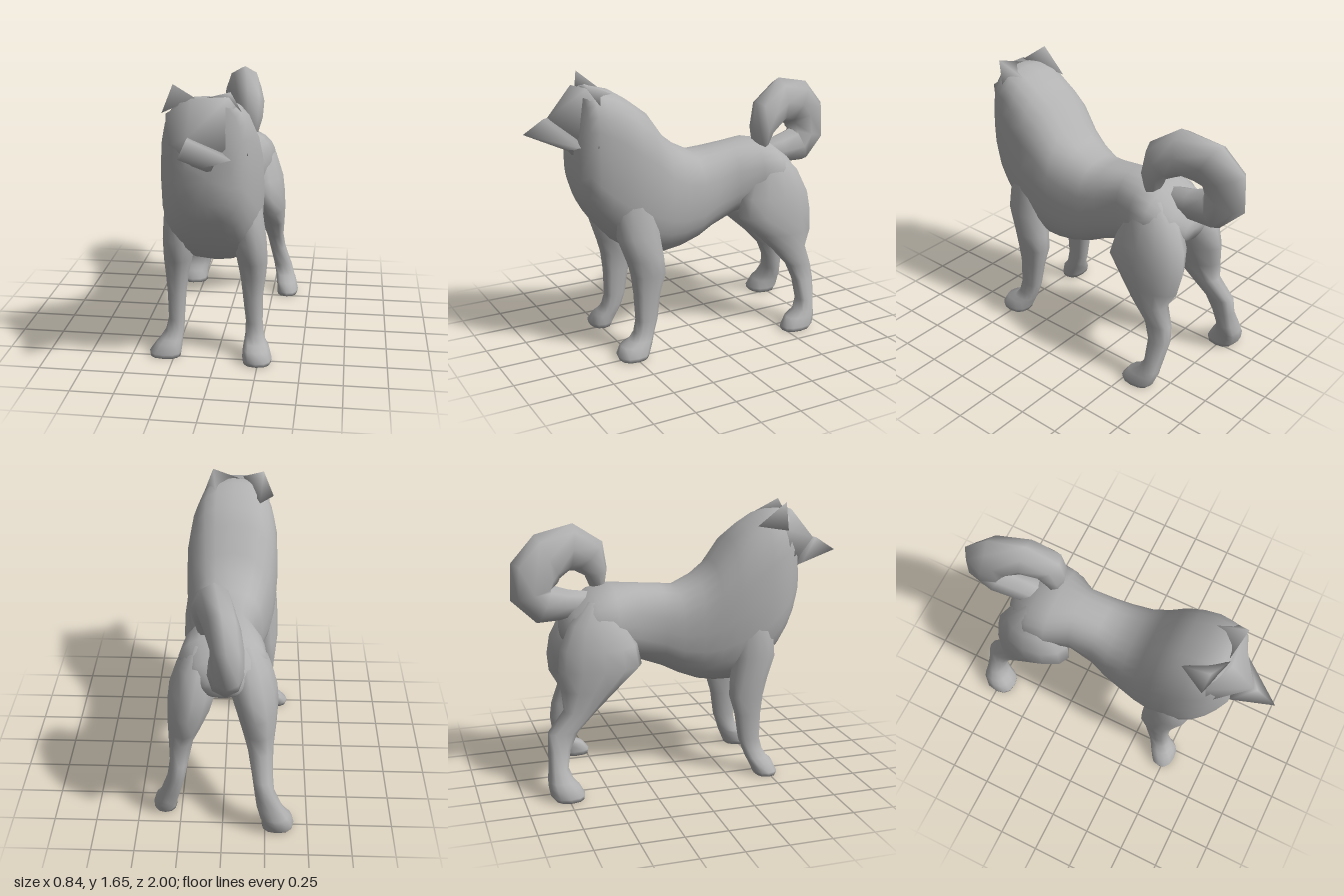
import * as THREE from 'three';
import { ConvexGeometry } from 'three/addons/geometries/ConvexGeometry.js';
import { mergeVertices } from 'three/addons/utils/BufferGeometryUtils.js';

// Closed skin over a list of rings (arrays of Vector3), capped at both ends.
function loft(rings) {
  const n = rings[0].length, pos = [], idx = [];
  rings.forEach(r => r.forEach(p => pos.push(p.x, p.y, p.z)));
  for (let i = 0; i < rings.length - 1; i++) {
    for (let j = 0; j < n; j++) {
      const a = i * n + j, b = i * n + (j + 1) % n;
      idx.push(a, b, a + n, b, b + n, a + n);
    }
  }
  [0, rings.length - 1].forEach((ri, end) => {
    const c = new THREE.Vector3();
    rings[ri].forEach(p => c.addScaledVector(p, 1 / n));
    const ci = pos.length / 3;
    pos.push(c.x, c.y, c.z);
    for (let j = 0; j < n; j++) {
      const a = ri * n + j, b = ri * n + (j + 1) % n;
      if (end) idx.push(a, b, ci); else idx.push(b, a, ci);
    }
  });
  // Turn the skin outward if its signed volume is negative.
  const at = k => new THREE.Vector3().fromArray(pos, k * 3);
  let volume = 0;
  for (let i = 0; i < idx.length; i += 3) volume += at(idx[i]).dot(at(idx[i + 1]).cross(at(idx[i + 2])));
  if (volume < 0) idx.reverse();
  const g = new THREE.BufferGeometry();
  g.setAttribute('position', new THREE.Float32BufferAttribute(pos, 3));
  g.setIndex(idx);
  g.computeVertexNormals();
  return g;
}

// Convex piece with smooth normals
function smoothHull(points) {
  const hull = new ConvexGeometry(points.map(p => new THREE.Vector3(...p)));
  hull.deleteAttribute('normal');
  const g = mergeVertices(hull);
  g.computeVertexNormals();
  return g;
}

// Rounded outline: calls place(u, v) with u, v in -1..1; power 2 is an ellipse.
function ring(sides, power, place) {
  const soft = t => Math.sign(t) * Math.abs(t) ** (2 / power);
  return Array.from({ length: sides }, (_, i) => {
    const a = (i / sides) * Math.PI * 2;
    return place(soft(Math.cos(a)), soft(Math.sin(a)));
  });
}
const mix = (a, b, t) => (a + b) / 2 + t * (b - a) / 2;

// Torso sections: z, bottom, top, x min, x max, squareness
const torso = [
  [-0.70, 0.88, 1.00, -0.10, 0.10, 2],
  [-0.64, 0.84, 1.08, -0.19, 0.20, 2.2],
  [-0.52, 0.80, 1.17, -0.25, 0.26, 2.2],
  [-0.40, 0.77, 1.195, -0.235, 0.24, 2.3],
  [-0.26, 0.73, 1.185, -0.175, 0.18, 2.4],
  [-0.10, 0.67, 1.17, -0.19, 0.20, 2.4],
  [0.00, 0.62, 1.16, -0.22, 0.22, 2.5],
  [0.12, 0.575, 1.22, -0.25, 0.23, 2.5],
  [0.22, 0.56, 1.30, -0.28, 0.25, 2.5],
  [0.32, 0.56, 1.44, -0.30, 0.26, 2.6],
  [0.42, 0.60, 1.515, -0.31, 0.265, 2.7],
  [0.52, 0.67, 1.575, -0.305, 0.25, 2.9],
  [0.60, 0.76, 1.595, -0.285, 0.225, 3],
  [0.66, 0.84, 1.60, -0.25, 0.205, 3],
  [0.71, 0.92, 1.58, -0.205, 0.175, 2.8],
  [0.75, 1.02, 1.32, -0.14, 0.12, 2.4],
];

// Leg sections: y, back z, front z, x min, x max
const legs = {
  frontLeftLeg: [
    [1.08, 0.38, 0.50, 0.12, 0.23], [0.90, 0.31, 0.56, 0.09, 0.262], [0.74, 0.30, 0.57, 0.09, 0.285],
    [0.60, 0.28, 0.52, 0.11, 0.29], [0.50, 0.275, 0.49, 0.13, 0.28],
    [0.38, 0.31, 0.475, 0.145, 0.265], [0.22, 0.335, 0.47, 0.165, 0.265],
    [0.15, 0.36, 0.485, 0.165, 0.275], [0.105, 0.375, 0.52, 0.16, 0.29],
    [0.085, 0.385, 0.58, 0.157, 0.31], [0.03, 0.41, 0.605, 0.155, 0.33], [0.005, 0.42, 0.595, 0.16, 0.325],
  ],
  frontRightLeg: [
    [1.08, 0.38, 0.50, -0.27, -0.15], [0.90, 0.31, 0.56, -0.307, -0.11], [0.74, 0.30, 0.57, -0.318, -0.13],
    [0.60, 0.28, 0.52, -0.32, -0.15], [0.50, 0.275, 0.49, -0.31, -0.175],
    [0.38, 0.31, 0.475, -0.30, -0.19], [0.22, 0.335, 0.47, -0.295, -0.20],
    [0.15, 0.36, 0.485, -0.31, -0.20], [0.105, 0.375, 0.51, -0.34, -0.205],
    [0.085, 0.385, 0.535, -0.36, -0.205], [0.03, 0.41, 0.555, -0.40, -0.21], [0.005, 0.42, 0.55, -0.395, -0.215],
  ],
  hindLeftLeg: [
    [1.12, -0.56, -0.42, 0.06, 0.18], [1.00, -0.68, -0.35, 0.02, 0.265],
    [0.86, -0.745, -0.28, 0.025, 0.31], [0.74, -0.76, -0.25, 0.06, 0.325],
    [0.62, -0.745, -0.36, 0.12, 0.325], [0.52, -0.69, -0.46, 0.17, 0.32],
    [0.40, -0.73, -0.565, 0.20, 0.31], [0.30, -0.74, -0.605, 0.22, 0.325],
    [0.18, -0.72, -0.615, 0.25, 0.37], [0.115, -0.71, -0.585, 0.265, 0.39],
    [0.085, -0.71, -0.52, 0.27, 0.405], [0.03, -0.69, -0.48, 0.28, 0.42], [0.005, -0.67, -0.485, 0.28, 0.415],
  ],
  hindRightLeg: [
    [1.12, -0.56, -0.42, -0.18, -0.06], [1.00, -0.68, -0.35, -0.265, -0.02],
    [0.86, -0.745, -0.28, -0.305, -0.025], [0.74, -0.76, -0.26, -0.315, -0.06],
    [0.62, -0.75, -0.40, -0.305, -0.10], [0.50, -0.74, -0.54, -0.29, -0.14],
    [0.38, -0.84, -0.66, -0.29, -0.17], [0.28, -0.845, -0.71, -0.30, -0.185],
    [0.18, -0.85, -0.735, -0.35, -0.20], [0.115, -0.86, -0.71, -0.385, -0.215],
    [0.085, -0.86, -0.68, -0.405, -0.225], [0.03, -0.85, -0.65, -0.42, -0.23], [0.005, -0.83, -0.655, -0.415, -0.23],
  ],
};

// Curled tail path: x, y, z, half width, half thickness
const tail = [
  [0.00, 1.07, -0.50, 0.08, 0.08], [-0.01, 1.085, -0.66, 0.09, 0.09],
  [-0.02, 1.10, -0.80, 0.10, 0.12], [-0.03, 1.17, -0.865, 0.09, 0.135],
  [-0.03, 1.29, -0.85, 0.09, 0.15], [0.00, 1.375, -0.77, 0.10, 0.15],
  [0.045, 1.415, -0.62, 0.105, 0.14], [0.08, 1.35, -0.51, 0.10, 0.12],
  [0.085, 1.25, -0.465, 0.09, 0.07], [0.08, 1.13, -0.455, 0.06, 0.035],
];

// Head parts: corner points of each convex piece
const headParts = {
  face: [
    [-0.10, 1.42, 0.86], [-0.09, 1.25, 0.77], [-0.25, 1.32, 0.65], [0.20, 1.29, 0.67], [0.02, 1.2, 0.74],
    [-0.10, 1.60, 0.71], [0.10, 1.61, 0.69], [-0.25, 1.50, 0.63], [0.17, 1.5, 0.62], [-0.03, 1.45, 0.55],
  ],
  muzzle: [
    [-0.11, 1.34, 1.0], [-0.10, 1.42, 0.88], [-0.17, 1.28, 0.76],
    [0.12, 1.28, 0.74], [-0.03, 1.22, 0.73], [-0.08, 1.45, 0.76],
  ],
  rightEar: [[-0.21, 1.66, 0.63], [-0.275, 1.5, 0.62], [-0.08, 1.6, 0.69], [-0.19, 1.52, 0.46]],
  leftEar: [[0.11, 1.64, 0.71], [-0.06, 1.59, 0.68], [0.17, 1.5, 0.63], [0.08, 1.54, 0.48]],
};

export function createModel() {
  const dog = new THREE.Group();
  dog.name = 'dog';
  const fur = new THREE.MeshStandardMaterial({ color: 0xb2b2b2 });
  fur.name = 'grey fur';
  const add = (name, geometry) => {
    const mesh = new THREE.Mesh(geometry, fur);
    mesh.name = name;
    dog.add(mesh);
  };

  // Body, chest and neck in one skin
  add('body', loft(torso.map(([z, y0, y1, x0, x1, power]) =>
    ring(24, power, (u, v) => new THREE.Vector3(mix(x0, x1, u), mix(y0, y1, v), z)))));

  // Legs with paws: rounder thighs and shoulders, squarer below
  for (const [name, sections] of Object.entries(legs)) {
    add(name, loft(sections.map(([y, z0, z1, x0, x1]) =>
      ring(12, y > 0.55 ? 2 : 2.4, (u, v) => new THREE.Vector3(mix(x0, x1, u), y, mix(z0, z1, v))))));
  }

  // Tail sections stand square to the path
  add('tail', loft(tail.map(([x, y, z, w, t], i) => {
    const a = tail[Math.max(i - 1, 0)], b = tail[Math.min(i + 1, tail.length - 1)];
    const out = new THREE.Vector3(0, b[2] - a[2], a[1] - b[1]).normalize();
    return ring(8, 2, (u, v) => new THREE.Vector3(x + u * w, y, z).addScaledVector(out, v * t));
  })));

  // Face, muzzle and ears
  for (const [name, points] of Object.entries(headParts)) add(name, smoothHull(points));
  return dog;
}
